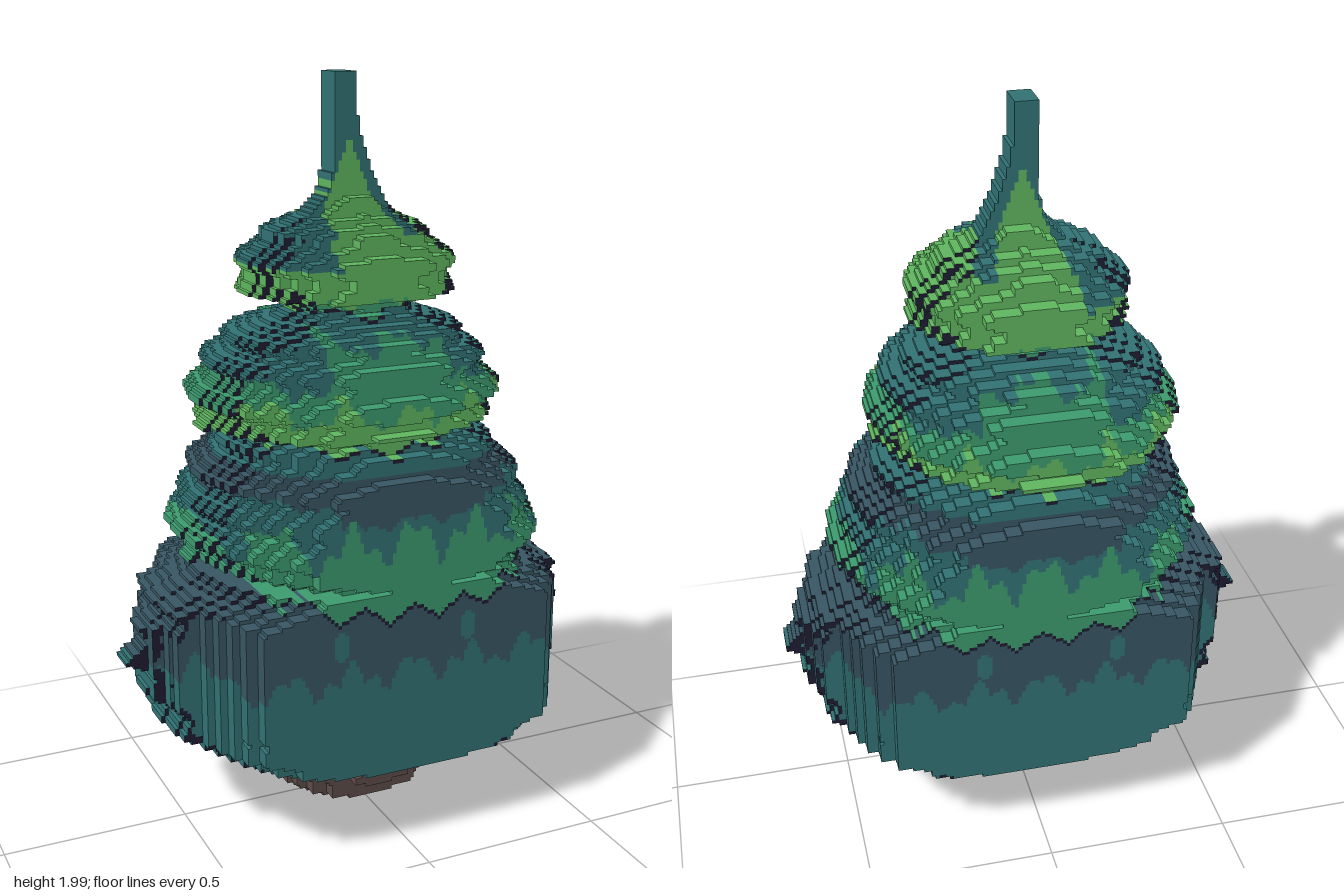
import * as THREE from 'three';
import { mergeGeometries } from 'three/addons/utils/BufferGeometryUtils.js';

const S = 0.01, NX = 132, NY = 200;      // cell size and grid
const STEP = 0.0435, MAX_LEVEL = 9;      // depth terraces

const COLORS = {
  slate: 0x385764, teal: 0x327375, green: 0x3d9c70,
  lime: 0x60b760, outlineNavy: 0x1f1d33, bark: 0x5f4d4b,
};

// Triangle wave 0..1, used for needle fringes
const zig = (x, p) => Math.abs((((x / p) % 1) + 1) % 1 * 2 - 1);
// Ragged level line: long teeth with smaller ones on top
const fringe = (x, y, a) => y + a * (zig(x, 0.17) - 0.5) + a * 0.6 * (zig(x + 0.03, 0.07) - 0.5);

// One side of a tier: from the neck over each branch tip, with a notch before every tip
function sidePoints(neck, tips, notch) {
  const points = [neck];
  for (const tip of tips) {
    const [px, py] = points[points.length - 1];
    points.push([(px + tip[0]) / 2 - notch, py * 0.6 + tip[1] * 0.4], tip);
  }
  return points;
}

// Closed outline of a tier: right side, toothed sagging hem, left side mirrored and shifted
function tier({ neck, tips, bottom, notch, tooth, shift }) {
  const right = sidePoints(neck, tips, notch);
  const left = right.map(([x, y], i) => (i ? [-x + shift[0], y + shift[1]] : [-x, y]));
  const [rx, ry] = right[right.length - 1], [lx, ly] = left[left.length - 1];
  const count = Math.max(4, Math.round((rx - lx) / 0.07 / 2) * 2);
  const hem = [];
  for (let i = 1; i < count; i++) {
    const t = i / count, u = (2 * t - 1) ** 2;
    const side = t < 0.5 ? ry : ly;
    hem.push([rx + (lx - rx) * t, bottom + (side - bottom) * u + (i % 2 ? tooth : 0)]);
  }
  const points = [...right, ...hem, ...left.reverse()];
  return (x, y) => {
    let hit = false;
    points.forEach(([ax, ay], i) => {
      const [bx, by] = points[(i + 1) % points.length];
      if ((ay > y) !== (by > y) && x < (bx - ax) * (y - ay) / (by - ay) + ax) hit = !hit;
    });
    return hit;
  };
}

// Parts from the top down; upper parts cover lower ones
const PARTS = [
  {
    name: 'treeTop',
    contains: (x, y) => {
      const u = (2 - y) / 0.4;
      return u < 1 && x > -0.06 - 0.19 * u ** 8 && x < -0.005 + 0.13 * u * u;
    },
    color: (x, y) => (y < 1.83 && Math.abs(x + 0.02) < (1.84 - y) * 0.4 ? 'lime' : 'teal'),
  },
  {
    name: 'topBoughs',
    contains: tier({
      neck: [0.1, 1.66], tips: [[0.19, 1.61], [0.28, 1.53], [0.27, 1.45]],
      bottom: 1.38, notch: 0.03, tooth: 0.03, shift: [-0.03, 0],
    }),
    color: (x, y) => {
      if (x < -0.13 && y > 1.53) return 'teal';
      return y < fringe(x, 1.44, 0.05) && Math.abs(x) < 0.16 ? 'green' : 'lime';
    },
  },
  {
    name: 'upperBoughs',
    contains: tier({
      neck: [0.14, 1.42], tips: [[0.29, 1.35], [0.35, 1.29], [0.4, 1.2], [0.38, 1.12]],
      bottom: 1.06, notch: 0.05, tooth: 0.03, shift: [-0.05, -0.01],
    }),
    color: (x, y) => {
      if (y < fringe(x, 1.19, 0.07)) return 'lime';
      const crest = Math.abs(x + 0.02) < 0.16 ? 1.35 : 1.25;
      return y < fringe(x, crest, 0.05) ? 'green' : 'teal';
    },
  },
  {
    name: 'middleBoughs',
    contains: tier({
      neck: [0.28, 1.1], tips: [[0.38, 1.05], [0.46, 0.96], [0.48, 0.89], [0.52, 0.81], [0.49, 0.73]],
      bottom: 0.64, notch: 0.05, tooth: 0.05, shift: [0.01, 0.03],
    }),
    color: (x, y) => {
      if (y < fringe(x, 0.87, 0.11)) return 'green';
      const low = Math.abs(x) < 0.2 ? 0.92 : 0.97;
      return y > fringe(x, low, 0.03) && y < 1.035 ? 'slate' : 'teal';
    },
  },
  {
    name: 'lowerBoughs',
    contains: tier({
      neck: [0.44, 0.73],
      tips: [[0.58, 0.65], [0.62, 0.58], [0.66, 0.49], [0.61, 0.4], [0.57, 0.31], [0.49, 0.22]],
      bottom: 0.17, notch: 0.045, tooth: 0.045, shift: [0, 0.015],
    }),
    color: (x, y) => {
      const spot = Math.hypot(Math.abs(x + 0.02) - 0.18, (y - 0.61) * 0.6) < 0.022;
      return y > fringe(x, 0.52, 0.08) && !spot ? 'slate' : 'teal';
    },
  },
  {
    name: 'trunk',
    contains: tier({
      neck: [0.18, 0.25], tips: [[0.22, 0.12], [0.2, 0.07]],
      bottom: 0, notch: 0.01, tooth: 0.01, shift: [-0.005, -0.01],
    }),
    color: () => 'bark',
  },
];
const TRUNK = PARTS.length - 1;

export function createModel() {
  const group = new THREE.Group();
  const materials = {};
  for (const [name, color] of Object.entries(COLORS)) {
    materials[name] = new THREE.MeshStandardMaterial({ color });
    materials[name].name = name;
  }
  const cx = i => (i + 0.5 - NX / 2) * S, cy = j => (j + 0.5) * S;

  // Which part owns each cell, with totals per row and column and the middle of each row
  const rows = new Array(NY).fill(0), sums = new Array(NY).fill(0), cols = new Array(NX).fill(0);
  const grid = rows.map((_, j) => cols.map((_, i) => {
    const k = PARTS.findIndex(p => p.contains(cx(i), cy(j)));
    if (k >= 0) { rows[j]++; cols[i]++; sums[j] += cx(i); }
    return k;
  }));
  const owner = (i, j) => grid[j]?.[i] ?? -1;

  // Dark rim along the silhouette and under each fringe
  const isRim = (i, j) => {
    const k = owner(i, j);
    if (k === 0 || (k === TRUNK && cy(j) < 0.13)) return false;
    if (k < TRUNK && Math.abs(cx(i)) < 0.45 && owner(i, j - 1) > k) return true;
    const r = k === TRUNK ? 1.4 : 3.2;
    for (let a = 0; a < 8; a++) {
      const t = a * Math.PI / 4;
      if (owner(i + Math.round(r * Math.cos(t)), j + Math.round(r * Math.sin(t))) < 0) return true;
    }
    return false;
  };

  // Part, depth level, face colour and side colour of one cell:
  // each row is round, but no deeper than its column is tall
  function cell(i, j) {
    const k = owner(i, j);
    if (k < 0) return null;
    const radius = rows[j] * S / 2, offset = cx(i) - sums[j] / rows[j];
    const round = Math.sqrt(Math.max(0, radius ** 2 - offset ** 2));
    const reach = Math.min(round, cols[i] * S / 2) / STEP;
    const level = Math.min(MAX_LEVEL, Math.max(1, Math.floor(reach + 0.25)));
    const side = PARTS[k].color(cx(i), cy(j));
    return { k, level, face: isRim(i, j) ? 'outlineNavy' : side, side };
  }

  // Collect geometry by part and colour
  const bins = PARTS.map(() => ({}));
  function add(k, color, positions) {
    const g = new THREE.BufferGeometry();
    g.setAttribute('position', new THREE.BufferAttribute(positions, 3));
    (bins[k][color] ??= []).push(g);
  }

  // Merge equal neighbours in a row into one bar
  for (let j = 0; j < NY; j++) {
    let start = 0, current = null, key = '';
    for (let i = 0; i <= NX; i++) {
      const c = i < NX ? cell(i, j) : null;
      const nextKey = c ? Object.values(c).join() : '';
      if (nextKey === key) continue;
      if (current) {
        const w = (i - start) * S;
        const box = new THREE.BoxGeometry(w, S, current.level * STEP * 2).toNonIndexed();
        box.translate((start - NX / 2) * S + w / 2, cy(j), 0);
        const p = box.attributes.position.array;
        add(current.k, current.side, p.slice(0, 72));   // sides, top and bottom
        add(current.k, current.face, p.slice(72));      // front and back
      }
      start = i; current = c; key = nextKey;
    }
  }

  PARTS.forEach((part, k) => {
    const partGroup = new THREE.Group();
    partGroup.name = part.name;
    for (const [color, list] of Object.entries(bins[k])) {
      const geometry = mergeGeometries(list);
      geometry.computeVertexNormals();
      const mesh = new THREE.Mesh(geometry, materials[color]);
      mesh.name = `${part.name} ${color}`;
      partGroup.add(mesh);
    }
    group.add(partGroup);
  });
  return group;
}
